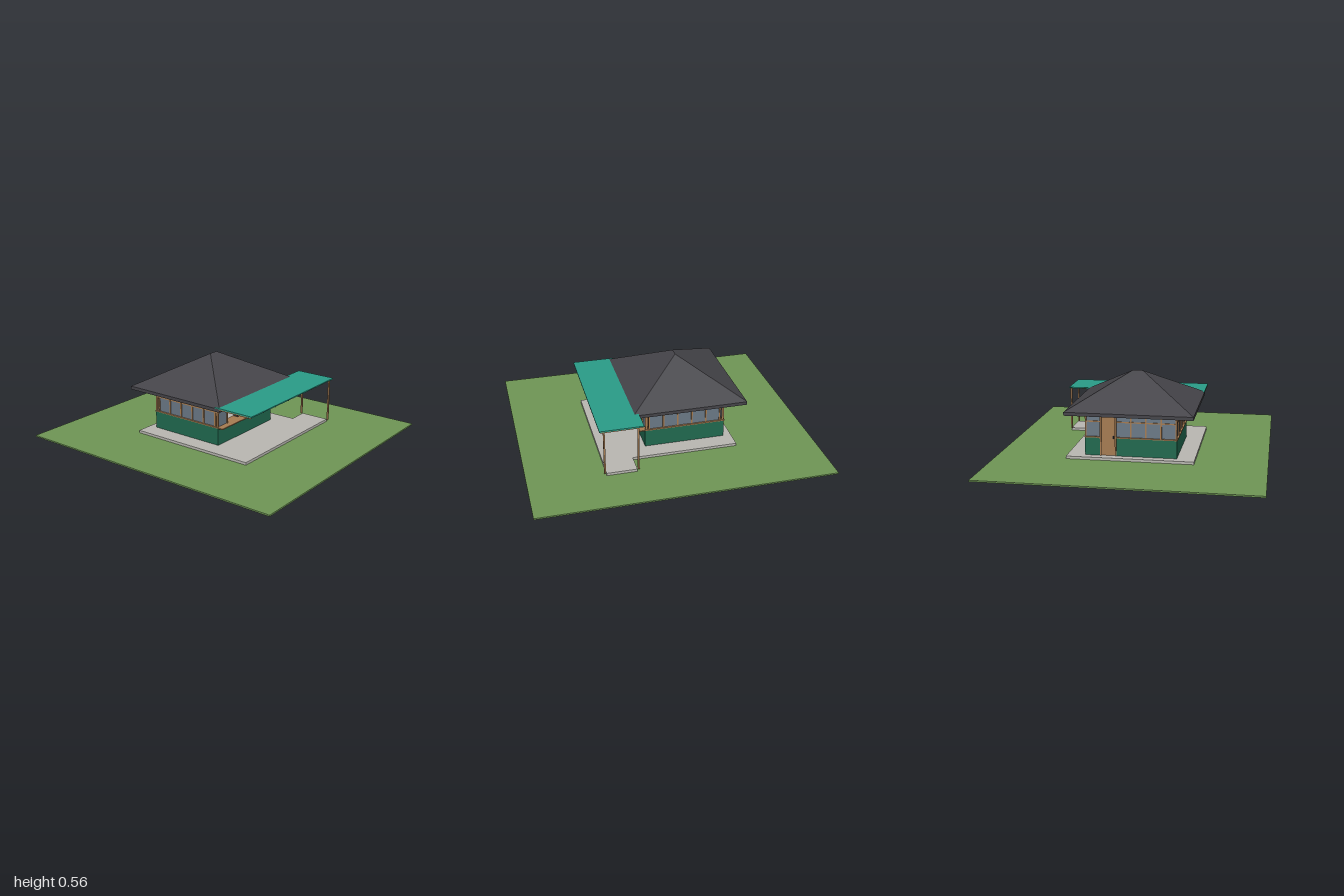
import * as THREE from 'three';

const mat = (name, color, side = THREE.FrontSide) => {
  const m = new THREE.MeshStandardMaterial({ color, side });
  m.name = name;
  return m;
};

export function createModel() {
  const grass = mat('grass', 0x6f9655);
  const concrete = mat('concrete', 0xbab8b2);
  const green = mat('wall green', 0x20694f);
  const teal = mat('canopy teal', 0x2a9d88);
  const slate = mat('roof slate', 0x454449);
  const wood = mat('wood', 0xa67c52);
  const glass = mat('glass', 0x6b7986);
  const dark = mat('dark metal', 0x35353a);

  const model = new THREE.Group();
  model.name = 'kiosk';

  // Box from its minimum and maximum corners
  const box = (parent, name, material, x0, x1, y0, y1, z0, z1) => {
    const mesh = new THREE.Mesh(new THREE.BoxGeometry(x1 - x0, y1 - y0, z1 - z0), material);
    mesh.position.set((x0 + x1) / 2, (y0 + y1) / 2, (z0 + z1) / 2);
    mesh.name = name;
    parent.add(mesh);
    return mesh;
  };

  // Ground and paving
  box(model, 'lawn', grass, -0.91, 0.91, 0, 0.01, -1, 1);
  box(model, 'mainSlab', concrete, -0.43, 0.43, 0.01, 0.028, -0.455, 0.275);
  box(model, 'terraceSlab', concrete, -0.43, 0.57, 0.01, 0.028, 0.275, 0.48);

  // Wall facing local +z with its outer face at z = 0, divided into window bays
  const FLOOR = 0.028, SILL = 0.15, RAIL = 0.26, TOP = 0.327;
  const wall = (name, width, glazed, bays, { open = [], door = -1 } = {}) => {
    const g = new THREE.Group();
    g.name = name;
    const step = glazed / bays;
    const left = -glazed / 2;
    for (let i = 0; i < bays; i++) {
      const x0 = i === 0 ? -width / 2 : left + i * step;
      const x1 = i === bays - 1 ? width / 2 : left + (i + 1) * step;
      if (i === door) {
        box(g, 'door', wood, x0, x1, FLOOR, 0.318, -0.018, -0.006);
        for (const x of [x0, x1]) box(g, 'doorJamb', wood, x - 0.005, x + 0.005, FLOOR, TOP, -0.018, 0.004);
        box(g, 'doorHandle', dark, x1 - 0.02, x1 - 0.012, 0.145, 0.165, -0.006, 0.002);
        continue;
      }
      box(g, 'wallPanel', green, x0, x1, FLOOR, SILL, -0.016, 0);
      box(g, 'sill', wood, x0, x1, SILL, SILL + 0.007, -0.02, 0.005);
      box(g, 'headRail', wood, x0, x1, TOP - 0.008, TOP, -0.016, -0.002);
      if (open.includes(i)) continue;
      box(g, 'pane', glass, left + i * step, left + (i + 1) * step, SILL + 0.007, TOP - 0.008, -0.012, -0.008);
      box(g, 'windowRail', wood, x0, x1, RAIL - 0.004, RAIL + 0.004, -0.016, -0.003);
    }
    // Upright mullions between the bays
    for (let i = 0; i <= bays; i++) {
      if (open.includes(i) && open.includes(i - 1)) continue;
      const x = left + i * step;
      box(g, 'mullion', wood, x - 0.005, x + 0.005, SILL, TOP, -0.016, -0.001);
    }
    model.add(g);
    return g;
  };

  wall('frontWall', 0.62, 0.61, 6, { open: [1, 2] }).position.set(0, 0, 0.16);
  const back = wall('backWall', 0.62, 0.61, 6, { door: 1 });
  back.position.set(0, 0, -0.4);
  back.rotation.y = Math.PI;
  for (const s of [-1, 1]) {
    const side = wall(s > 0 ? 'leftWall' : 'rightWall', 0.56, 0.5, 5);
    side.position.set(s * 0.31, 0, -0.12);
    side.rotation.y = s * Math.PI / 2;
  }

  // Serving counter, raised hatch and its struts
  box(model, 'counter', wood, -0.315, 0.315, 0.15, 0.157, 0.1, 0.2);
  const hatch = new THREE.Group();
  hatch.name = 'servingHatch';
  hatch.position.set(0, 0.322, 0.165);
  hatch.rotation.x = 0.3;
  box(hatch, 'hatchPanel', wood, -0.203, 0, -0.004, 0.004, 0, 0.1);
  model.add(hatch);
  box(model, 'hangingSign', wood, -0.18, -0.11, 0.262, 0.29, 0.163, 0.169);

  // Fittings inside
  box(model, 'cupboard', wood, -0.1, 0, FLOOR, 0.25, -0.37, -0.32);
  box(model, 'menuBoard', green, -0.1, -0.05, 0.21, 0.242, -0.319, -0.312);
  box(model, 'tillBase', dark, -0.065, -0.015, 0.157, 0.172, 0.105, 0.14);
  box(model, 'tillScreen', dark, -0.053, -0.028, 0.172, 0.193, 0.11, 0.122);

  // Hipped roof: eaves box and four sloping faces meeting at a short ridge
  box(model, 'eaves', slate, -0.43, 0.425, 0.322, 0.345, -0.52, 0.265);
  const E = [[-0.43, 0.345, 0.265], [0.425, 0.345, 0.265], [0.425, 0.345, -0.52], [-0.43, 0.345, -0.52]];
  const R = [[-0.036, 0.563, -0.122], [0.032, 0.563, -0.122]];
  const faces = [
    E[0], E[1], R[1], E[0], R[1], R[0],
    E[1], E[2], R[1],
    E[2], E[3], R[0], E[2], R[0], R[1],
    E[3], E[0], R[0],
  ];
  const roofGeometry = new THREE.BufferGeometry();
  roofGeometry.setAttribute('position', new THREE.Float32BufferAttribute(faces.flat(), 3));
  roofGeometry.computeVertexNormals();
  const roof = new THREE.Mesh(roofGeometry, slate);
  roof.name = 'roof';
  model.add(roof);

  // Flat canopy over the terrace, with beams and posts
  box(model, 'canopy', teal, -0.43, 0.572, 0.343, 0.351, 0.226, 0.52);
  for (const z of [0.265, 0.49]) {
    box(model, 'canopyBeam', wood, -0.43, 0.571, 0.334, 0.343, z - 0.004, z + 0.006);
    box(model, 'canopyPost', wood, 0.56, 0.571, FLOOR, 0.335, z - 0.005, z + 0.006);
  }
  for (const x of [-0.425, -0.29, -0.15, 0, 0.15, 0.29, 0.43, 0.565]) {
    box(model, 'canopyRafter', wood, x - 0.004, x + 0.004, 0.336, 0.343, 0.268, 0.515);
  }

  return model;
}
